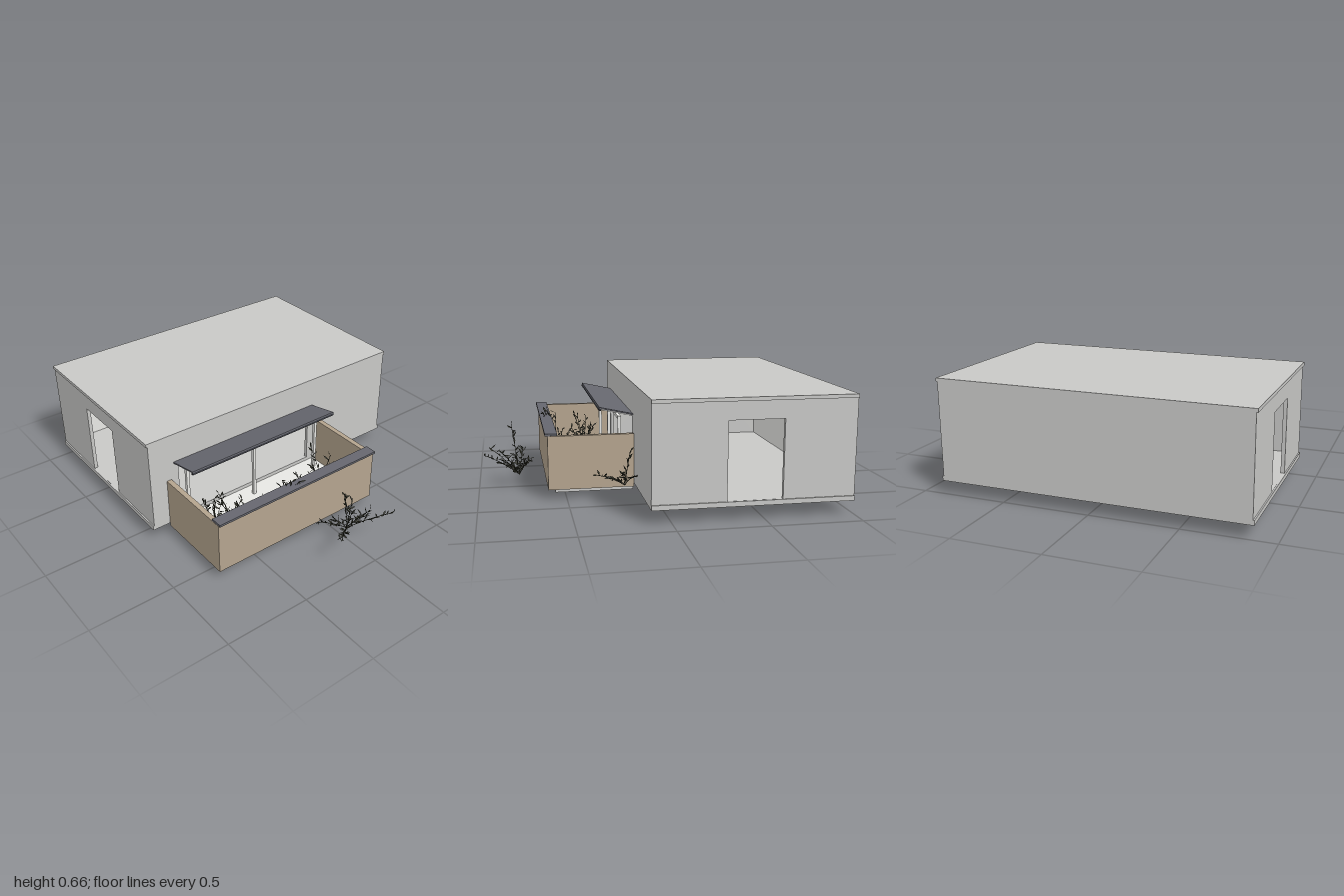
import * as THREE from 'three';
import { mergeGeometries } from 'three/addons/utils/BufferGeometryUtils.js';

const mat = (name, color, side = THREE.FrontSide) => {
  const m = new THREE.MeshStandardMaterial({ color, side });
  m.name = name;
  return m;
};

export function createModel() {
  const concrete = mat('concrete', 0xc8c8c6);
  const pale = mat('pale paint', 0xe9e9e6);
  const tan = mat('tan cladding', 0xb4a48e);
  const slate = mat('slate metal', 0x66676f);
  const dark = mat('dark metal', 0x34363c);
  const moss = mat('moss', 0x666849);
  const shrub = mat('shrub green', 0x4c503c);
  const foliage = mat('foliage', 0x35362a, THREE.DoubleSide);

  const model = new THREE.Group();
  const add = (name, geometry, material, parent = model) => {
    const mesh = new THREE.Mesh(geometry, material);
    mesh.name = name;
    parent.add(mesh);
    return mesh;
  };
  // Box given by its lower and upper limits on each axis
  const box = (name, x0, x1, y0, y1, z0, z1, material, parent) => {
    const g = new THREE.BoxGeometry(x1 - x0, y1 - y0, z1 - z0);
    g.translate((x0 + x1) / 2, (y0 + y1) / 2, (z0 + z1) / 2);
    return add(name, g, material, parent);
  };
  // Upright wall panel with one rectangular opening, in the xy plane
  const panel = (w0, w1, h0, h1, o, depth) => {
    const s = new THREE.Shape();
    s.moveTo(w0, h0).lineTo(w1, h0).lineTo(w1, h1).lineTo(w0, h1).closePath();
    const h = new THREE.Path();
    h.moveTo(o[0], o[2]).lineTo(o[0], o[3]).lineTo(o[1], o[3]).lineTo(o[1], o[2]).closePath();
    s.holes.push(h);
    return new THREE.ExtrudeGeometry(s, { depth, bevelEnabled: false });
  };

  // House shell
  const house = new THREE.Group();
  house.name = 'house';
  model.add(house);
  box('floorSlab', -1, 0.11, 0.08, 0.107, -0.88, 0.88, concrete, house);
  box('roofSlab', -1, 0.11, 0.64, 0.66, -0.88, 0.88, concrete, house);
  box('leftWall', -1, -0.98, 0.107, 0.64, -0.872, 0.872, concrete, house);
  box('leftWallLining', -0.98, -0.975, 0.107, 0.64, -0.85, 0.85, pale, house);
  const door = [-0.6, -0.295, 0.108, 0.54];
  const endWall = panel(-0.98, 0.09, 0.107, 0.64, door, 0.022);
  add('frontWall', endWall, concrete, house).position.z = 0.85;
  add('backWall', endWall, concrete, house).position.z = -0.872;
  const sideWall = panel(-0.872, 0.872, 0.107, 0.64, [-0.69, 0.25, 0.108, 0.46], 0.02);
  sideWall.rotateY(Math.PI / 2);
  add('terraceWall', sideWall, concrete, house).position.x = 0.09;
  box('indoorStool', -0.475, -0.41, 0.107, 0.21, 0.1, 0.165, concrete, house);

  // Terrace enclosure
  const terrace = new THREE.Group();
  terrace.name = 'terrace';
  model.add(terrace);
  box('terraceSlab', 0.115, 0.565, 0.043, 0.063, -0.31, 0.755, concrete, terrace);
  box('terraceFloor', 0.11, 0.57, 0.063, 0.085, -0.3, 0.74, pale, terrace);
  box('outerParapet', 0.57, 0.605, 0.063, 0.375, -0.33, 0.77, tan, terrace);
  box('frontParapet', 0.112, 0.57, 0.063, 0.375, 0.74, 0.77, tan, terrace);
  box('backParapet', 0.112, 0.57, 0.063, 0.375, -0.33, -0.3, tan, terrace);
  box('parapetCap', 0.55, 0.62, 0.377, 0.39, -0.33, 0.77, slate, terrace);

  // Posts and beam carrying the canopy
  for (const z of [0.682, 0.222, -0.243]) {
    box('post', 0.175, 0.194, 0.085, 0.465, z - 0.009, z + 0.009, pale, terrace);
  }
  box('postBeam', 0.175, 0.194, 0.447, 0.465, -0.25, 0.69, pale, terrace);

  // Sloping canopy with rafters below
  const canopy = new THREE.Group();
  canopy.name = 'canopy';
  canopy.position.set(0.11, 0.474, 0.22);
  canopy.rotation.z = 0.215;
  model.add(canopy);
  box('canopyPanel', 0, 0.2, 0, 0.008, -0.5, 0.5, slate, canopy);
  box('canopyEdge', 0.186, 0.199, -0.012, 0, -0.5, 0.5, dark, canopy);
  for (let i = 0; i < 18; i++) {
    const z = -0.46 + i * 0.054;
    box('rafter', 0.004, 0.186, -0.011, -0.001, z - 0.004, z + 0.004, pale, canopy);
  }

  // Moss patches and round shrub
  for (const [x, z, r] of [[0.345, 0.06, 0.09], [0.47, 0.08, 0.045], [0.485, 0.35, 0.055], [0.45, 0.57, 0.062]]) {
    const patch = add('mossPatch', new THREE.CylinderGeometry(r, r, 0.006, 24), moss);
    patch.position.set(x, 0.088, z);
  }
  add('roundShrub', new THREE.SphereGeometry(0.06, 24, 16), shrub).position.set(0.465, 0.064, 0.52);

  // Leafy plants: arching stems lined with narrow folded leaves
  let seed = 17;
  const rnd = (a, b) => {
    seed = (seed * 16807) % 2147483647;
    return a + (b - a) * seed / 2147483647;
  };
  const leafShape = () => {
    const g = new THREE.PlaneGeometry(0.011, 1, 2, 2);
    g.translate(0, 0.5, 0);
    const p = g.attributes.position;
    for (let i = 0; i < p.count; i++) {
      const y = p.getY(i);
      p.setX(i, p.getX(i) * Math.sin(Math.PI * (0.08 + 0.88 * y)));
      p.setZ(i, Math.abs(p.getX(i)) * 0.5);
    }
    return g;
  };
  const up = new THREE.Vector3(0, 1, 0);
  const plant = (name, base, tips, leafLength, leavesPerStem) => {
    const parts = [];
    const root = new THREE.Vector3(...base);
    for (const tip of tips) {
      const end = new THREE.Vector3(...tip);
      const mid = root.clone().lerp(end, 0.5);
      mid.y += 0.02;
      const curve = new THREE.QuadraticBezierCurve3(root, mid, end);
      parts.push(new THREE.TubeGeometry(curve, 5, 0.0018, 4));
      for (let i = 1; i <= leavesPerStem; i++) {
        const t = 0.12 + 0.88 * i / leavesPerStem;
        const dir = curve.getTangent(t).multiplyScalar(0.7);
        dir.add(new THREE.Vector3(rnd(-1, 1), rnd(-0.5, 0.8), rnd(-1, 1))).normalize();
        const leaf = leafShape();
        leaf.scale(1, leafLength * rnd(0.7, 1.2), 1);
        leaf.rotateY(rnd(0, 6.28));
        leaf.applyQuaternion(new THREE.Quaternion().setFromUnitVectors(up, dir));
        const at = curve.getPoint(t);
        leaf.translate(at.x, at.y, at.z);
        parts.push(leaf);
      }
    }
    add(name, mergeGeometries(parts), foliage);
  };
  plant('outerShrub', [0.76, 0.08, 0], [
    [0.8, 0.37, 0.07], [0.96, 0.24, -0.15], [0.93, 0.2, 0.2], [0.7, 0.19, -0.09], [0.73, 0.2, 0.2],
    [0.86, 0.23, -0.07], [0.72, 0.14, 0.06], [0.8, 0.14, -0.12], [0.84, 0.13, 0.1], [0.78, 0.2, -0.02],
  ], 0.036, 13);
  plant('backShrub', [0.17, 0.08, -0.36], [
    [0.14, 0.28, -0.37], [0.34, 0.17, -0.45], [0.2, 0.18, -0.46], [0.13, 0.15, -0.44], [0.24, 0.12, -0.35],
  ], 0.034, 10);
  plant('sprout', [0, 0.08, -0.65], [[0.005, 0.072, -0.66], [-0.008, 0.07, -0.64]], 0.015, 3);
  // Terrace plants, each a base with its height and spread
  const bed = [
    [0.34, -0.18, 0.22, 0.08], [0.48, 0.06, 0.25, 0.09], [0.52, 0.2, 0.33, 0.08],
    [0.49, 0.33, 0.18, 0.07], [0.32, 0.48, 0.2, 0.08], [0.31, 0.6, 0.3, 0.06],
    [0.4, 0.56, 0.13, 0.06], [0.5, -0.13, 0.18, 0.06],
  ];
  for (const [x, z, h, s] of bed) {
    const tips = [];
    for (let i = 0; i < 5; i++) {
      const a = i * 1.257 + rnd(0, 0.8);
      tips.push([Math.min(x + s * Math.cos(a), 0.55), 0.085 + h * rnd(0.5, 1), z + s * Math.sin(a)]);
    }
    plant('terracePlant', [x, 0.085, z], tips, 0.034, 8);
  }
  plant('parapetPlant', [0.55, 0.3, 0.26], [[0.59, 0.42, 0.27], [0.6, 0.41, 0.22], [0.57, 0.42, 0.3]], 0.03, 6);
  return model;
}
